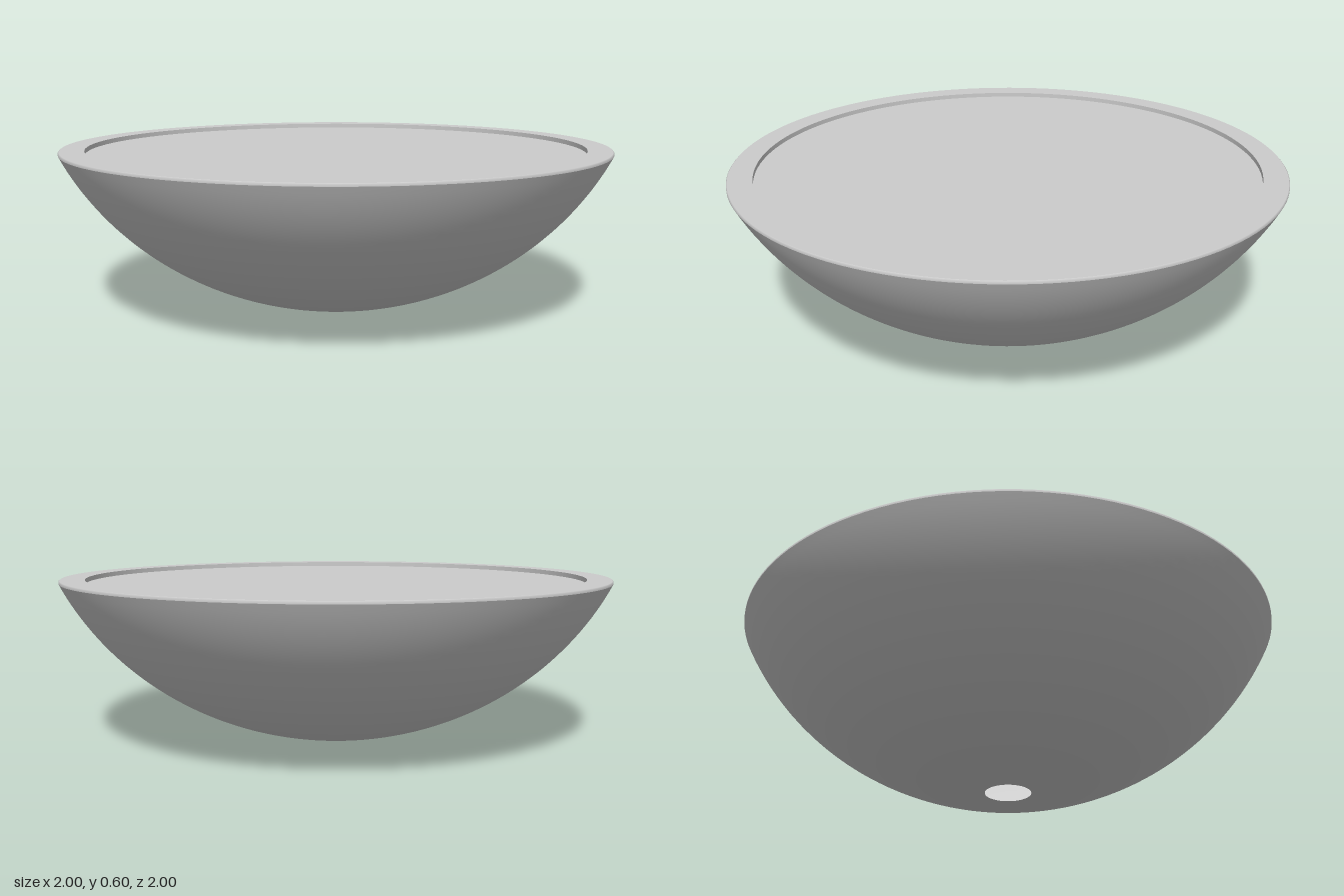
import * as THREE from 'three';

const SEGMENTS = 128;
const material = new THREE.MeshStandardMaterial({ color: 0xcccccc, side: THREE.DoubleSide });

// Points of an elliptical bowl profile from radius r0 (height y0) to radius r1 (height y1)
function bowlProfile(r0, y0, r1, y1, a, steps = 40) {
  const drop = (r) => 1 - Math.sqrt(1 - (r / a) ** 2);
  const b = (y1 - y0) / (drop(r1) - drop(r0));
  const t0 = Math.asin(r0 / a), t1 = Math.asin(r1 / a);
  return Array.from({ length: steps + 1 }, (_, i) => {
    const r = a * Math.sin(t0 + (t1 - t0) * i / steps);
    return new THREE.Vector2(r, y0 + b * (drop(r) - drop(r0)));
  });
}

export function createModel() {
  const model = new THREE.Group();
  model.name = 'bowl';

  const add = (name, geometry) => {
    const mesh = new THREE.Mesh(geometry, material);
    mesh.name = name;
    model.add(mesh);
    return mesh;
  };
  const lathe = (name, points) => add(name, new THREE.LatheGeometry(points, SEGMENTS));
  const v = (r, y) => new THREE.Vector2(r, y);

  // Shell with a small drain hole at the bottom
  lathe('outerShell', bowlProfile(0.085, 0, 1, 0.585, 1.1));
  lathe('innerShell', bowlProfile(0.085, 0, 0.91, 0.54, 1.02).reverse());

  // Rim: thin outer lip, flat top and the step down to the lid
  lathe('rimLip', [v(1, 0.585), v(1, 0.592), v(0.997, 0.595)]);
  lathe('rimTop', [v(0.997, 0.595), v(0.91, 0.595)]);
  lathe('rimStep', [v(0.91, 0.595), v(0.91, 0.54)]);

  // Disc sunk just below the rim
  add('lid', new THREE.CylinderGeometry(0.91, 0.91, 0.038, SEGMENTS)).position.y = 0.559;

  return model;
}
